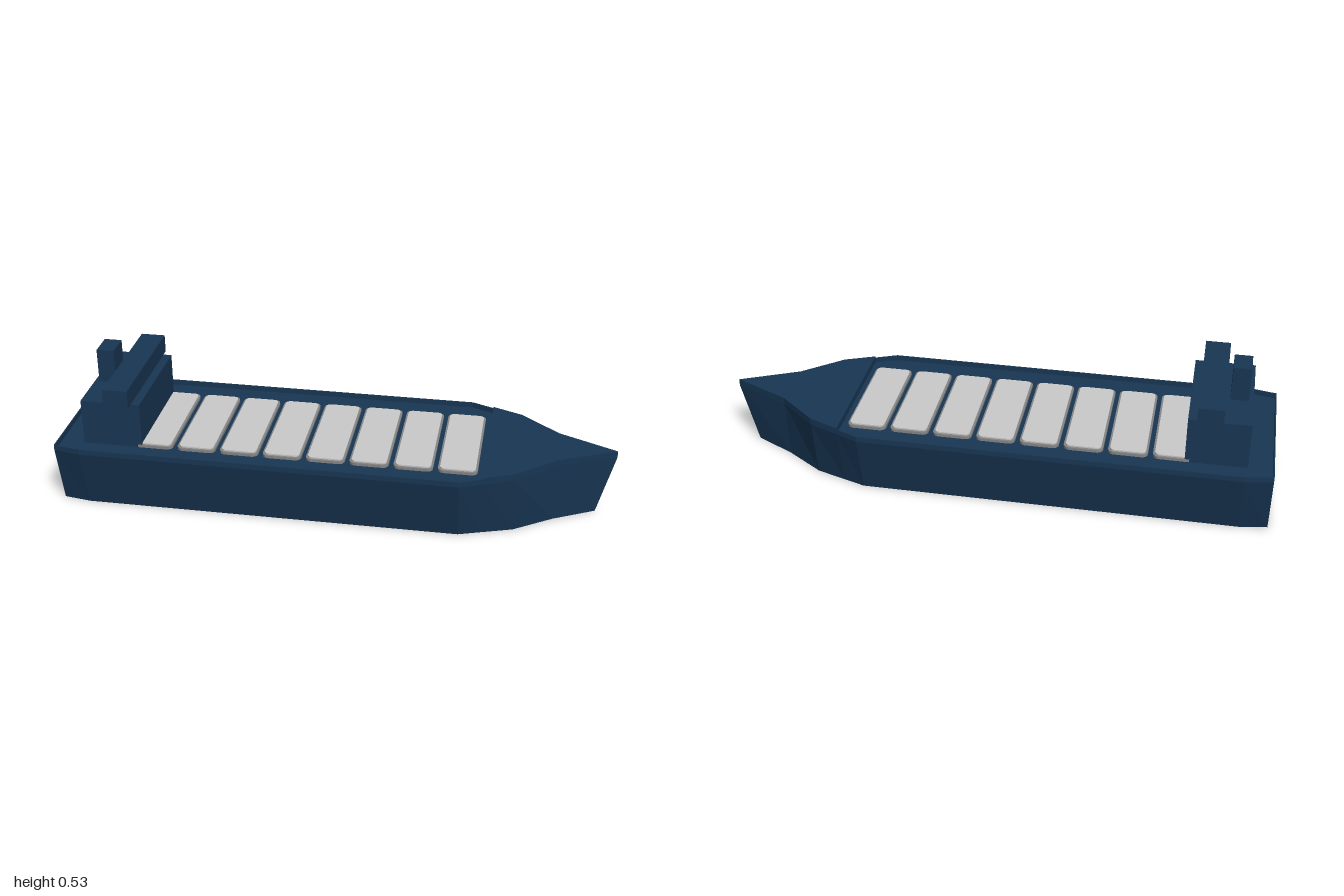
import * as THREE from 'three';

const navy = new THREE.MeshStandardMaterial({ color: 0x183654, flatShading: true });
const grey = new THREE.MeshStandardMaterial({ color: 0xcccccc });
const darkGrey = new THREE.MeshStandardMaterial({ color: 0x858585 });

const DECK = 0.23;
const FORE_X = 0.54, FORE_Z = 0.266; // where the raised foredeck starts

// Half outlines of the deck edge, stern to bow: [x, half width]
const aftHalf = [[-1, 0.28], [-0.9, 0.3], [0.46, 0.3], [FORE_X, FORE_Z]];
const foreHalf = [[FORE_X, FORE_Z], [0.65, 0.22], [0.79, 0.1], [1, 0]];

const mirrored = (half) => half.slice().reverse().map(([x, w]) => [x, -w]);

function polygon(points) {
  return new THREE.Shape(points.map(([x, y]) => new THREE.Vector2(x, y)));
}

// Extrude a plan outline upwards from height y
function slab(shape, y, height) {
  const g = new THREE.ExtrudeGeometry(shape, { depth: height, bevelEnabled: false, curveSegments: 4 });
  return g.rotateX(-Math.PI / 2).translate(0, y, 0);
}

function roundedRect(w, h, r) {
  const s = new THREE.Shape();
  const x = w / 2 - r, y = h / 2 - r;
  s.absarc(x, y, r, 0, Math.PI / 2);
  s.absarc(-x, y, r, Math.PI / 2, Math.PI);
  s.absarc(-x, -y, r, Math.PI, Math.PI * 1.5);
  s.absarc(x, -y, r, Math.PI * 1.5, Math.PI * 2);
  return s;
}

export function createModel() {
  const ship = new THREE.Group();
  ship.name = 'cargoShip';

  const add = (name, geometry, material = navy, parent = ship) => {
    const mesh = new THREE.Mesh(geometry, material);
    mesh.name = name;
    parent.add(mesh);
    return mesh;
  };
  const box = (name, x0, x1, y0, y1, halfWidth) =>
    add(name, new THREE.BoxGeometry(x1 - x0, y1 - y0, halfWidth * 2)
      .translate((x0 + x1) / 2, (y0 + y1) / 2, 0));

  // Hull: the deck outline, narrowed at the keel with a raked stem
  const half = [...aftHalf, ...foreHalf.slice(1)];
  const hull = slab(polygon([...half, ...mirrored(half.slice(0, -1))]), 0, DECK);
  const p = hull.attributes.position;
  for (let i = 0; i < p.count; i++) {
    if (p.getY(i) > 0.01) continue;
    p.setZ(i, p.getZ(i) * 0.8);
    if (p.getX(i) > 0.95) p.setX(i, 0.94);
  }
  hull.computeVertexNormals();
  add('hull', hull);

  // Bulwark: thin upright rail around the main deck, open at the foredeck
  const t = 0.004;
  const innerHalf = aftHalf.map(([x, w], i) => [i === 0 ? x + t : x, w - t]);
  add('bulwark', slab(polygon([
    ...mirrored(aftHalf), ...aftHalf, ...innerHalf.slice().reverse(), ...mirrored(innerHalf).reverse(),
  ]), DECK, 0.02));

  // Raised foredeck
  add('foredeck', slab(polygon([...foreHalf, ...mirrored(foreHalf.slice(0, -1))]), DECK, 0.025));

  // Cargo hatches: coaming with a lid on top
  const coaming = slab(roundedRect(0.14, 0.424, 0.022), DECK, 0.01);
  const lid = slab(roundedRect(0.126, 0.408, 0.017), DECK + 0.01, 0.005);
  for (let i = 0; i < 8; i++) {
    const hatch = new THREE.Group();
    hatch.name = `hatch${i + 1}`;
    hatch.position.x = -0.652 + i * 0.157;
    add('hatchCoaming', coaming, darkGrey, hatch);
    add('hatchLid', lid, grey, hatch);
    ship.add(hatch);
  }

  // Superstructure
  box('deckhouse', -0.91, -0.693, DECK, 0.4, 0.21);
  box('bridge', -0.814, -0.724, 0.4, 0.467, 0.24);
  box('funnel', -0.893, -0.829, 0.4, 0.527, 0.048);

  return ship;
}
